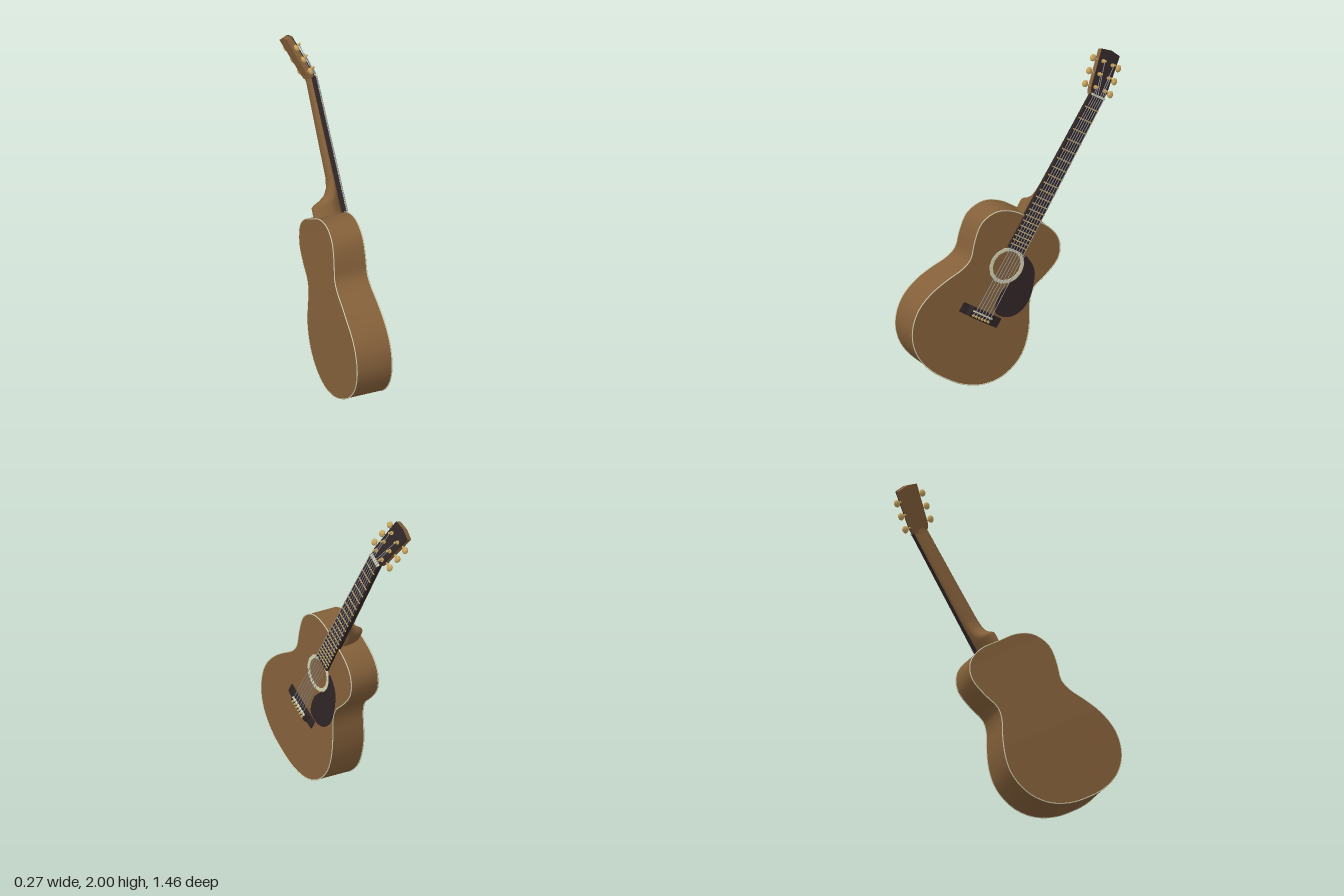
import * as THREE from 'three';

const mat = (name, color, side = THREE.FrontSide) => {
  const m = new THREE.MeshStandardMaterial({ color, side });
  m.name = name;
  return m;
};

// Surface through a list of cross-sections, each an array of [x, y, z]
function loft(sections, { closed = true, caps = false, flat = false } = {}) {
  const n = sections[0].length, pos = sections.flat(2), idx = [];
  for (let i = 0; i < sections.length - 1; i++) {
    for (let j = 0; j < (closed ? n : n - 1); j++) {
      const a = i * n + j, b = i * n + (j + 1) % n;
      idx.push(a, b, a + n, b, b + n, a + n);
    }
  }
  if (caps) {
    [0, sections.length - 1].forEach((s, end) => {
      const base = pos.length / 3;
      pos.push(...sections[s].flat());
      for (let j = 1; j < n - 1; j++) {
        if (end) idx.push(base, base + j, base + j + 1);
        else idx.push(base, base + j + 1, base + j);
      }
    });
  }
  let g = new THREE.BufferGeometry();
  g.setAttribute('position', new THREE.Float32BufferAttribute(pos, 3));
  g.setIndex(idx);
  if (flat) g = g.toNonIndexed();
  g.computeVertexNormals();
  return g;
}

export function createModel() {
  const wood = mat('wood', 0x84603a, THREE.DoubleSide);
  const ebony = mat('ebony', 0x2f2526);
  const cream = mat('cream', 0xd2d2b2);
  const gold = mat('gold', 0xcaa660);
  const steel = mat('steel', 0x93959a);

  // Local frame: x across, y along the neck from the soundhole, z out of the soundboard
  const guitar = new THREE.Group();
  guitar.name = 'guitar';
  const add = (name, geo, material, parent = guitar, x = 0, y = 0, z = 0) => {
    const m = new THREE.Mesh(geo, material);
    m.name = name;
    m.position.set(x, y, z);
    parent.add(m);
    return m;
  };
  const rod = (name, a, b, r, material, parent = guitar, sides = 5) => {
    const A = new THREE.Vector3(...a), d = new THREE.Vector3(...b).sub(A);
    const m = add(name, new THREE.CylinderGeometry(r, r, d.length(), sides), material, parent);
    m.position.copy(A).addScaledVector(d, 0.5);
    m.quaternion.setFromUnitVectors(new THREE.Vector3(0, 1, 0), d.normalize());
    return m;
  };
  const lerp = THREE.MathUtils.lerp;

  // Body outline: half profile mirrored into a closed curve
  const half = [[0.145, 0.318], [0.25, 0.272], [0.304, 0.175], [0.285, 0.05], [0.25, -0.055],
    [0.268, -0.13], [0.322, -0.22], [0.375, -0.325], [0.405, -0.44], [0.396, -0.54],
    [0.35, -0.64], [0.26, -0.722], [0.13, -0.77]];
  const ctrl = [[0, 0.322], ...half, [0, -0.78], ...half.map(([x, y]) => [-x, y]).reverse()];
  const N = 72;
  const outline = new THREE.CatmullRomCurve3(ctrl.map(([x, y]) => new THREE.Vector3(x, y, 0)), true)
    .getPoints(N).slice(0, N);
  const FACE = 0.095;
  const backZ = (y) => lerp(-0.135, -0.1, THREE.MathUtils.clamp((y + 0.3) / 0.55, 0, 1));
  const rim = (zOf) => outline.map((p) => [p.x, p.y, zOf(p.y)]);

  add('bodySides', loft([rim(() => FACE), rim(backZ)]), wood);
  const rows = [];
  for (let i = 1; i < N / 2; i++) {
    rows.push([outline[i], outline[N - i]].map((p) => [p.x, p.y, backZ(p.y)]));
  }
  add('bodyBack', loft(rows, { closed: false, flat: true }), wood);
  const board = new THREE.Shape(outline.map((p) => new THREE.Vector2(p.x, p.y)));
  board.holes.push(new THREE.Path().absarc(0, 0, 0.097, 0, Math.PI * 2, true));
  add('soundboard', new THREE.ShapeGeometry(board, 7), wood, guitar, 0, 0, FACE);

  // Pale binding on both edges
  for (const [name, zOf] of [['frontBinding', () => FACE - 0.001], ['backBinding', (y) => backZ(y) + 0.002]]) {
    const path = new THREE.CatmullRomCurve3(rim(zOf).map((p) => new THREE.Vector3(...p)), true);
    add(name, new THREE.TubeGeometry(path, 96, 0.0035, 5, true), cream);
  }

  // Soundhole ring
  const ring = new THREE.Shape().absarc(0, 0, 0.117, 0, Math.PI * 2);
  ring.holes.push(new THREE.Path().absarc(0, 0, 0.095, 0, Math.PI * 2, true));
  add('soundholeRing', new THREE.ExtrudeGeometry(ring, { depth: 0.005, bevelEnabled: false, curveSegments: 7 }),
    cream, guitar, 0, 0, FACE - 0.001);

  // Pickguard
  const guard = new THREE.Shape();
  guard.moveTo(0.093, 0.102);
  guard.splineThru([[0.175, 0.06], [0.222, -0.005], [0.26, -0.125], [0.245, -0.222], [0.189, -0.282],
    [0.116, -0.296], [0.073, -0.267], [0.057, -0.171], [0.085, -0.084]].map((p) => new THREE.Vector2(...p)));
  guard.absarc(0, 0, 0.119, -0.78, 0.8);
  add('pickguard', new THREE.ExtrudeGeometry(guard, { depth: 0.005, bevelEnabled: false, curveSegments: 20 }),
    ebony, guitar, 0, 0, FACE);

  // Bridge with thinner wings, saddle and pins
  const bridge = new THREE.Shape([[-0.147, 0], [-0.147, 0.009], [-0.1, 0.012], [-0.08, 0.025],
    [0.08, 0.025], [0.1, 0.012], [0.147, 0.009], [0.147, 0]].map((p) => new THREE.Vector2(...p)));
  const bridgeGeo = new THREE.ExtrudeGeometry(bridge, { depth: 0.064, bevelEnabled: false });
  bridgeGeo.rotateX(Math.PI / 2);
  add('bridge', bridgeGeo, ebony, guitar, 0, -0.308, FACE).geometry.computeVertexNormals();
  add('saddle', new THREE.BoxGeometry(0.145, 0.009, 0.018), cream, guitar, 0, -0.33, 0.122);

  // Neck with rounded back and flared heel: [y, half width, front z, back z]
  const neckRows = [[0.3, 0.05, 0.08, -0.085], [0.385, 0.05, 0.08, -0.085], [0.4, 0.05, 0.08, -0.065],
    [0.415, 0.05, 0.08, -0.03], [0.44, 0.051, 0.08, 0.008], [0.48, 0.053, 0.08, 0.034],
    [0.54, 0.054, 0.08, 0.046], [1.13, 0.049, 0.073, 0.05], [1.18, 0.049, 0.07, 0.042]];
  add('neck', loft(neckRows.map(([y, w, zf, zb]) => Array.from({ length: 13 }, (_, i) => {
    const a = Math.PI * i / 12;
    return [w * Math.cos(a), y, zf - (zf - zb) * Math.sin(a) ** 0.7];
  })), { caps: true }), wood);

  // Fretboard, frets and nut
  const NUT = 1.167, END = 0.11;
  const k = (y) => (y - END) / (NUT - END);
  const boardW = (y) => lerp(0.063, 0.05, k(y));
  const boardZ = (y) => lerp(0.112, 0.094, k(y));
  add('fretboard', loft([END, NUT].map((y) => {
    const w = boardW(y), z = boardZ(y), zb = z - 0.028;
    return [[w, y, z], [w, y, zb], [-w, y, zb], [-w, y, z]];
  }), { caps: true, flat: true }), ebony);
  for (let n = 1; n <= 20; n++) {
    const y = NUT - 1.5 * (1 - 2 ** (-n / 12));
    add('fret', new THREE.BoxGeometry(boardW(y) * 2, 0.007, 0.007), gold, guitar, 0, y, boardZ(y) + 0.001);
  }
  add('nut', new THREE.BoxGeometry(0.1, 0.012, 0.025), cream, guitar, 0, NUT, 0.092);

  // Headstock tilted back, dark veneer on the front
  const head = new THREE.Group();
  head.name = 'headstock';
  head.position.set(0, NUT, 0.088);
  head.rotation.x = -0.35;
  guitar.add(head);
  const headShape = new THREE.Shape([[-0.05, 0], [0.05, 0], [0.06, 0.035], [0.07, 0.28], [0, 0.292],
    [-0.07, 0.28], [-0.06, 0.035]].map((p) => new THREE.Vector2(...p)));
  const slab = (depth) => new THREE.ExtrudeGeometry(headShape, { depth, bevelEnabled: false });
  add('headCore', slab(0.034), wood, head, 0, 0, -0.04);
  add('headVeneer', slab(0.006), ebony, head, 0, 0, -0.006);

  // Tuners: post, shaft and button, three per side
  const toGuitar = (p) => {
    head.updateMatrix();
    return new THREE.Vector3(...p).applyMatrix4(head.matrix).toArray();
  };
  const posts = [];
  for (const s of [-1, 1]) {
    for (let i = 0; i < 3; i++) {
      const y = 0.045 + i * 0.083;
      rod('tunerPost', [s * 0.037, y, -0.005], [s * 0.037, y, 0.03], 0.007, gold, head, 8);
      rod('tunerCollar', [s * 0.037, y, -0.002], [s * 0.037, y, 0.006], 0.013, gold, head, 8);
      rod('tunerShaft', [s * 0.05, y, -0.022], [s * 0.09, y, -0.022], 0.006, gold, head, 6);
      const button = add('tunerButton', new THREE.SphereGeometry(0.023, 10, 8), gold, head, s * 0.1, y, -0.022);
      button.scale.set(0.9, 1, 0.6);
      posts.push([s, i, toGuitar([s * 0.037, y, 0.02])]);
    }
  }

  // Strings: pin to saddle, saddle to nut, nut to post
  for (let i = 0; i < 6; i++) {
    const t = i / 5 * 2 - 1, side = i < 3 ? -1 : 1;
    const order = i < 3 ? i : 5 - i;
    const post = posts.find(([s, j]) => s === side && j === order)[2];
    const saddle = [t * 0.058, -0.33, 0.131], nut = [t * 0.04, NUT, 0.105], pin = [t * 0.058, -0.357, 0.118];
    rod('bridgePin', [pin[0], pin[1], 0.112], [pin[0], pin[1], 0.129], 0.008, gold, guitar, 8);
    rod('stringEnd', pin, saddle, 0.0025, steel);
    rod('string', saddle, nut, 0.0025, steel);
    rod('stringHead', nut, post, 0.0025, steel);
  }

  // Lean the instrument and turn its soundboard to +x
  guitar.rotation.z = -32 * Math.PI / 180;
  const stand = new THREE.Group();
  stand.name = 'instrument';
  stand.rotation.y = Math.PI / 2;
  stand.position.set(0, 0.748, 0.098);
  stand.add(guitar);
  const model = new THREE.Group();
  model.name = 'acousticGuitar';
  model.add(stand);
  return model;
}
